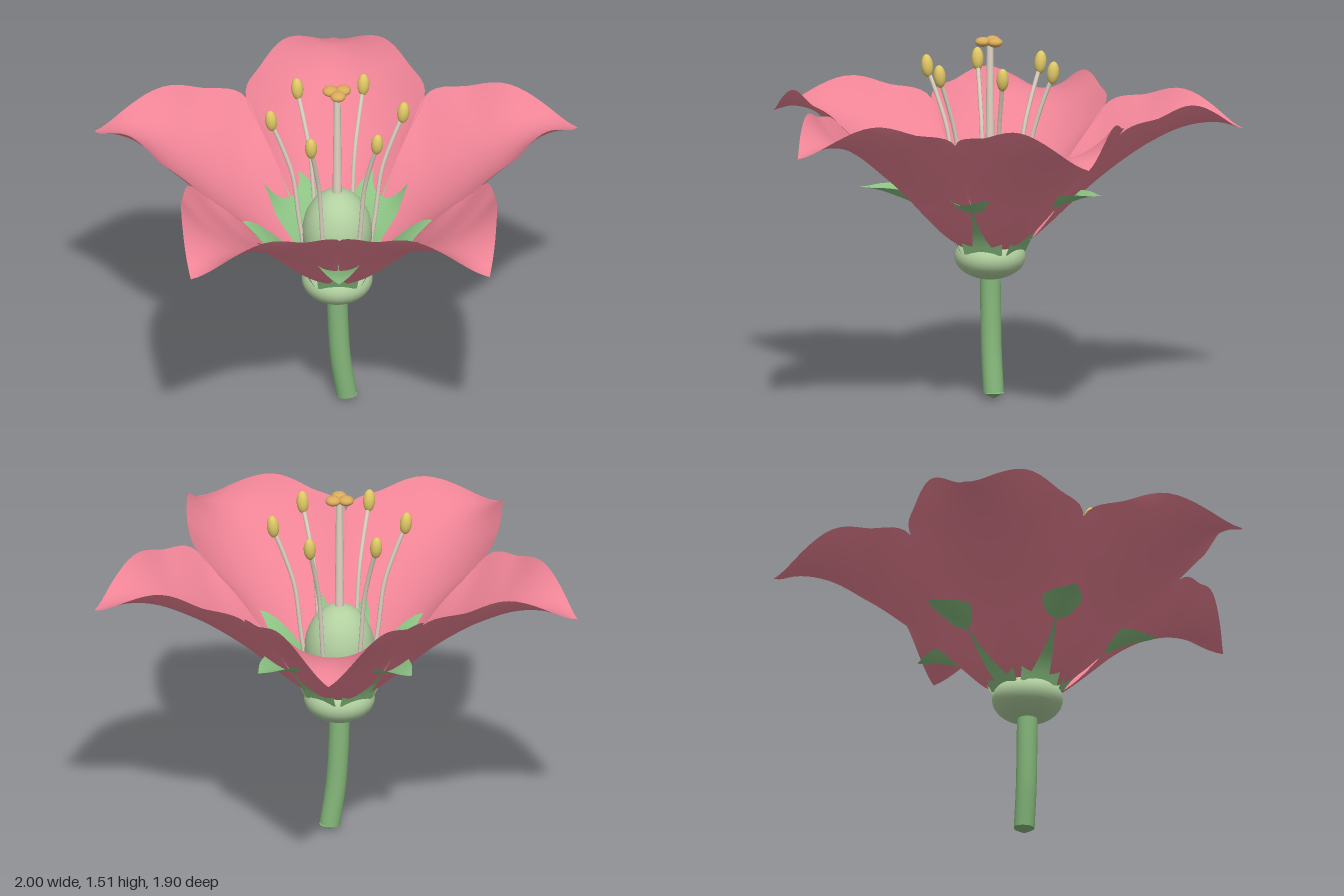
import * as THREE from 'three';

const V = (x, y, z) => new THREE.Vector3(x, y, z);
const mat = (color) => new THREE.MeshStandardMaterial({ color, side: THREE.DoubleSide });
const { smoothstep } = THREE.MathUtils;

const petalMat = mat(0xee8496);
const stemMat = mat(0x85b87b);
const sepalMat = mat(0x8cc283);
const paleMat = mat(0xb2d0a0);
const filamentMat = mat(0xe2d5c4);
const antherMat = mat(0xe0c866);
const stigmaMat = mat(0xdaab5a);

function add(parent, name, geometry, material, pos) {
  const mesh = new THREE.Mesh(geometry, material);
  mesh.name = name;
  if (pos) mesh.position.copy(pos);
  parent.add(mesh);
  return mesh;
}

const ellipsoid = (rx, ry) => new THREE.SphereGeometry(1, 28, 20).scale(rx, ry, rx);
const tube = (pts, r, sides) => new THREE.TubeGeometry(new THREE.CatmullRomCurve3(pts), 24, r, sides);

// Leaf-like surface along +z; stations hold (distance, height, half width),
// and cup(distance) lifts the edges by the square of the offset.
function blade(stations, cup, nu, nv) {
  const curve = new THREE.CatmullRomCurve3(stations.map((s) => V(...s)));
  const geo = new THREE.PlaneGeometry(1, 1, nu, nv);
  const p = geo.attributes.position;
  for (let i = 0; i < p.count; i++) {
    const s = curve.getPoint(p.getY(i) + 0.5);
    const x = 2 * p.getX(i) * Math.max(s.z, 0);
    p.setXYZ(i, x, s.y + cup(s.x) * x * x, s.x);
  }
  geo.computeVertexNormals();
  return geo;
}

export function createModel() {
  const model = new THREE.Group();
  model.name = 'flower';
  const bloom = new THREE.Group();
  bloom.name = 'bloom';
  bloom.position.z = -0.1;
  model.add(bloom);

  // Five cupped petals, narrow at the base, with pointed, drooping tips
  const petalCup = (r) => 2.2 - 0.8 * smoothstep(r, 0.28, 0.5) + 2.5 * smoothstep(r, 0.65, 1);
  const petalGeo = blade([
    [0.1, 0.62, 0.01], [0.17, 0.665, 0.085], [0.24, 0.725, 0.165], [0.32, 0.8, 0.233], [0.41, 0.885, 0.298],
    [0.515, 0.97, 0.37], [0.65, 1.06, 0.32], [0.8, 1.125, 0.225], [0.94, 1.14, 0.11], [1.05, 1.11, 0],
  ], petalCup, 24, 44);

  // Five sepals rising between the petals, passing beneath them into spoon-shaped tips
  const sepalGeo = blade([
    [0.125, 0.61, 0.08], [0.16, 0.68, 0.088], [0.21, 0.745, 0.105], [0.27, 0.795, 0.115],
    [0.33, 0.825, 0.105], [0.39, 0.85, 0.086], [0.46, 0.875, 0.055], [0.54, 0.89, 0],
  ], (r) => 0.8 + 4.5 * smoothstep(r, 0.24, 0.4), 12, 24);

  for (let i = 0; i < 5; i++) {
    const a = (i * Math.PI * 2) / 5;
    add(bloom, 'petal', petalGeo, petalMat).rotation.y = a;
    add(bloom, 'sepal', sepalGeo, sepalMat).rotation.y = a + Math.PI / 5;
  }

  // Receptacle and ovary
  add(bloom, 'receptacle', ellipsoid(0.147, 0.095), paleMat, V(0, 0.59, 0));
  add(bloom, 'ovary', ellipsoid(0.145, 0.195), paleMat, V(0, 0.815, 0));

  // Style with a three-lobed stigma
  add(bloom, 'style', new THREE.CylinderGeometry(0.014, 0.02, 0.54, 14), filamentMat, V(0, 1.21, 0));
  for (let i = 0; i < 3; i++) {
    const a = (i * Math.PI * 2) / 3;
    add(bloom, 'stigmaLobe', ellipsoid(0.032, 0.02), stigmaMat,
      V(0.031 * Math.cos(a), 1.488, 0.031 * Math.sin(a)));
  }

  // Six stamens
  const filamentGeo = tube([V(0, 0.68, 0.13), V(0, 0.9, 0.16), V(0, 1.1, 0.185), V(0, 1.24, 0.228), V(0, 1.35, 0.27)], 0.009, 8);
  const antherGeo = ellipsoid(0.025, 0.048);
  for (let i = 0; i < 6; i++) {
    const stamen = new THREE.Group();
    stamen.name = 'stamen';
    stamen.rotation.y = (i * Math.PI) / 3;
    add(stamen, 'filament', filamentGeo, filamentMat);
    add(stamen, 'anther', antherGeo, antherMat, V(0, 1.372, 0.275)).rotation.x = 0.1;
    bloom.add(stamen);
  }

  // Gently curved stem with a blunt pointed end
  add(bloom, 'stem', tube([V(0, 0.56, 0), V(0.003, 0.4, 0), V(0.014, 0.2, 0.005), V(0.038, 0.025, 0.014)], 0.043, 18), stemMat);
  const end = add(bloom, 'stemEnd', new THREE.ConeGeometry(0.043, 0.025, 18), stemMat, V(0.0385, 0.0125, 0.014));
  end.rotation.x = Math.PI;

  return model;
}
